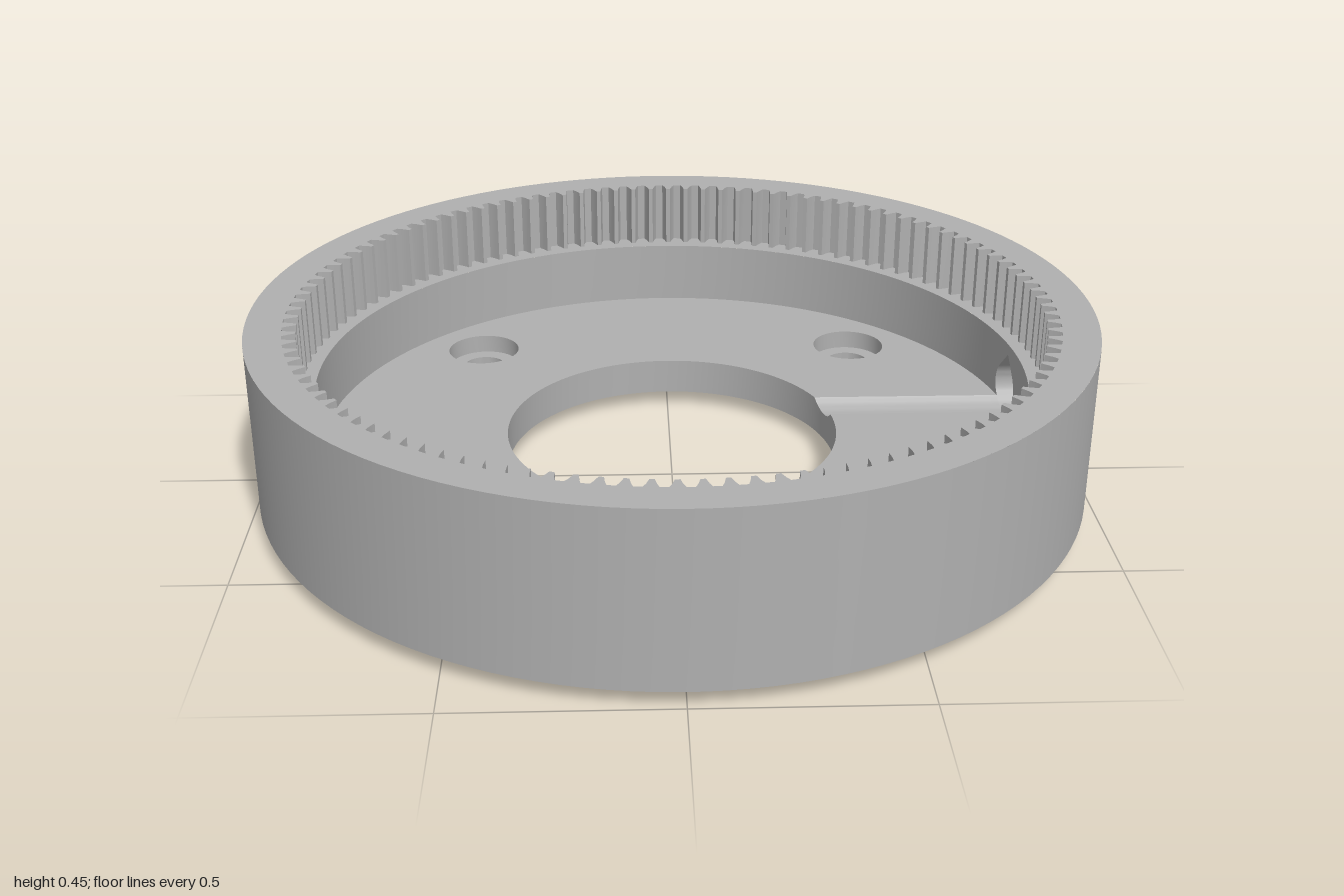
import * as THREE from 'three';
import { toCreasedNormals } from 'three/addons/utils/BufferGeometryUtils.js';

const SEG = 128, TEETH = 112;
const TOP = 0.45, LEDGE = 0.29, FLOOR = 0.13, STEP = 0.04;   // heights
const OUTER = 1, POCKET = 0.85, BORE = 0.402;                // radii
// teardrop cable hole on the +x side; s means -z
const HOLE = { s: 0.112, y: 0.172, r: 0.065 };

// Lower and upper edge of the cable hole at offset s
function holeSpan(s) {
  const d = Math.abs(s - HOLE.s), { r, y } = HOLE;
  if (d >= r) return [y, y];
  const h = Math.sqrt(r * r - d * d);
  return [y - h, d < r * Math.SQRT1_2 ? y + r * Math.SQRT2 - d : y + h];
}

// Geometry from quads, each given as four corners anticlockwise from outside
function quads(list) {
  const pos = [];
  for (const [a, b, c, d] of list) pos.push(...a, ...b, ...c, ...a, ...c, ...d);
  const g = new THREE.BufferGeometry();
  g.setAttribute('position', new THREE.Float32BufferAttribute(pos, 3));
  return toCreasedNormals(g, 0.5);
}

// Round wall with the cable hole cut out of it
function piercedWall(r, y0, y1, inward) {
  const angles = [];
  for (let i = 0; i <= 24; i++) {
    angles.push(Math.asin((HOLE.s - HOLE.r * Math.cos(i / 24 * Math.PI)) / r));
  }
  const first = angles[0], last = angles[24];
  for (let i = 1; i <= SEG; i++) angles.push(last + (first + 2 * Math.PI - last) * i / SEG);
  const clamp = (y) => Math.min(y1, Math.max(y0, y));
  const at = (a, y) => [r * Math.cos(a), y, -r * Math.sin(a)];
  const list = [];
  for (let i = 0; i < angles.length - 1; i++) {
    const a = angles[i], b = angles[i + 1];
    const sa = i <= 24 ? holeSpan(r * Math.sin(a)).map(clamp) : [clamp(HOLE.y), clamp(HOLE.y)];
    const sb = i < 24 ? holeSpan(r * Math.sin(b)).map(clamp) : [clamp(HOLE.y), clamp(HOLE.y)];
    list.push([at(a, y0), at(b, y0), at(b, sb[0]), at(a, sa[0])]);
    list.push([at(a, sa[1]), at(b, sb[1]), at(b, y1), at(a, y1)]);
  }
  return quads(inward ? list.map((q) => q.reverse()) : list);
}

// Inside of a passage along x, running between two cylinders
function passage(section, r0, r1) {
  const at = ([s, y], r) => [Math.sqrt(r * r - s * s), y, -s];
  const list = [];
  for (let i = 0; i < section.length - 1; i++) {
    const p = section[i], q = section[i + 1];
    list.push([at(p, r0), at(p, r1), at(q, r1), at(q, r0)]);
  }
  return quads(list);
}

// Vertical wall facing into an anticlockwise contour
function contourWall(pts, y0, y1) {
  return quads(pts.map((p, i) => {
    const q = pts[(i + 1) % pts.length];
    return [[q.x, y0, -q.y], [p.x, y0, -p.y], [p.x, y1, -p.y], [q.x, y1, -q.y]];
  }));
}

const disc = (r, x = 0, y = 0) => new THREE.Shape().absarc(x, y, r, 0, Math.PI * 2, false);

// Flat face with holes, looking up or down
function face(shape, holes, y, up) {
  shape.holes.push(...holes);
  return new THREE.ShapeGeometry(shape, 64).rotateX(up ? -Math.PI / 2 : Math.PI / 2).translate(0, y, 0);
}

// Turned surface; profiles going up face outward, going down face inward
function turned(profile, seg) {
  const pts = profile.map(([r, y]) => new THREE.Vector2(r, y));
  return toCreasedNormals(new THREE.LatheGeometry(pts, seg), 0.5);
}

function roundedSquare(h, r) {
  const s = new THREE.Shape();
  for (let i = 0; i < 4; i++) {
    const a = i * Math.PI / 2, c = h - r;
    const cx = i === 0 || i === 3 ? c : -c, cy = i < 2 ? c : -c;
    s.absarc(cx, cy, r, a, a + Math.PI / 2, false);
  }
  s.closePath();
  return s;
}

function gearContour() {
  const tooth = [[0, 0.913], [0.36, 0.913], [0.47, 0.9], [0.57, 0.881], [0.79, 0.881], [0.89, 0.9]];
  const pts = [];
  for (let i = 0; i < TEETH; i++) {
    for (const [f, r] of tooth) {
      const a = (i + f) / TEETH * Math.PI * 2;
      pts.push(new THREE.Vector2(r * Math.cos(a), r * Math.sin(a)));
    }
  }
  return pts;
}

export function createModel() {
  const model = new THREE.Group();
  model.name = 'gearHousing';
  const grey = new THREE.MeshStandardMaterial({ color: 0xb0b0b0 });
  grey.name = 'grey';
  const add = (name, geometry, x = 0, z = 0) => {
    const mesh = new THREE.Mesh(geometry, grey);
    mesh.name = name;
    mesh.position.set(x, 0, z);
    model.add(mesh);
  };

  const screws = [[1, 1], [-1, 1], [-1, -1], [1, -1]].map(([x, z]) => [x * 0.493, z * 0.493]);
  const pins = [[1, 0], [0, 1], [-1, 0], [0, -1]].map(([x, z]) => [x * 0.715, z * 0.715]);
  const holesAt = (places, r) => places.map(([x, y]) => disc(r, x, y));

  // Outer wall, and the foot with its chamfered edge
  add('outerWall', piercedWall(OUTER, STEP, TOP, false));
  add('foot', turned([[0.882, 0], [0.891, 0.01], [0.891, STEP], [OUTER, STEP]], SEG));

  // Toothed ring
  const gear = gearContour();
  add('topRim', face(disc(OUTER), [new THREE.Path(gear)], TOP, true));
  add('gearTeeth', contourWall(gear, LEDGE, TOP));
  add('gearLedge', face(new THREE.Shape(gear), [disc(POCKET)], LEDGE, true));

  // Pocket, with the floor split by the cable groove
  add('pocketWall', piercedWall(POCKET, FLOOR, LEDGE, true));
  const half = Math.sqrt(HOLE.r ** 2 - (HOLE.y - FLOOR) ** 2);
  const lo = HOLE.s - half, hi = HOLE.s + half, turn = Math.PI * 2;
  const floor = new THREE.Shape();
  floor.absarc(0, 0, POCKET, Math.asin(hi / POCKET), turn + Math.asin(lo / POCKET), false);
  floor.absarc(0, 0, BORE, turn + Math.asin(lo / BORE), Math.asin(hi / BORE), true);
  floor.closePath();
  add('pocketFloor', face(floor, holesAt(screws, 0.093), FLOOR, true));
  add('boreWall', piercedWall(BORE, STEP, FLOOR, true));

  // Cable hole through the wall and groove along the floor
  const drop = [];
  for (let i = 0; i <= 36; i++) {
    const a = Math.PI * (0.25 - i / 24);
    drop.push([HOLE.s + HOLE.r * Math.cos(a), HOLE.y + HOLE.r * Math.sin(a)]);
  }
  const tip = [HOLE.s, HOLE.y + HOLE.r * Math.SQRT2];
  add('cableHole', passage([tip, ...drop, tip].reverse(), POCKET, OUTER).scale(1, 1, 1));
  const arc = Math.asin(half / HOLE.r), groove = [];
  for (let i = 0; i <= 16; i++) {
    const a = -Math.PI / 2 - arc + 2 * arc * i / 16;
    groove.push([HOLE.s + HOLE.r * Math.cos(a), HOLE.y + HOLE.r * Math.sin(a)]);
  }
  add('cableGroove', passage(groove, BORE, POCKET));

  // Counterbored screw holes and blind pin holes
  for (const [x, z] of screws) {
    add('screwHole', turned([[0.093, FLOOR], [0.093, 0.083], [0.055, 0.083], [0.055, STEP]], 48), x, z);
  }
  for (const [x, z] of pins) add('pinHole', turned([[0, 0.1], [0.04, 0.1], [0.04, 0]], 32), x, z);

  // Underside with a square recess
  const square = () => roundedSquare(0.592, 0.05);
  const outline = square().getPoints(8).filter((p, i, all) => i === 0 || p.distanceTo(all[i - 1]) > 1e-6);
  if (outline[0].distanceTo(outline[outline.length - 1]) < 1e-6) outline.pop();
  add('underside', face(disc(0.882), [square(), ...holesAt(pins, 0.04)], 0, false));
  add('recessWall', contourWall(outline, 0, STEP));
  add('recessCeiling', face(square(), [disc(BORE), ...holesAt(screws, 0.055)], STEP, false));
  return model;
}
